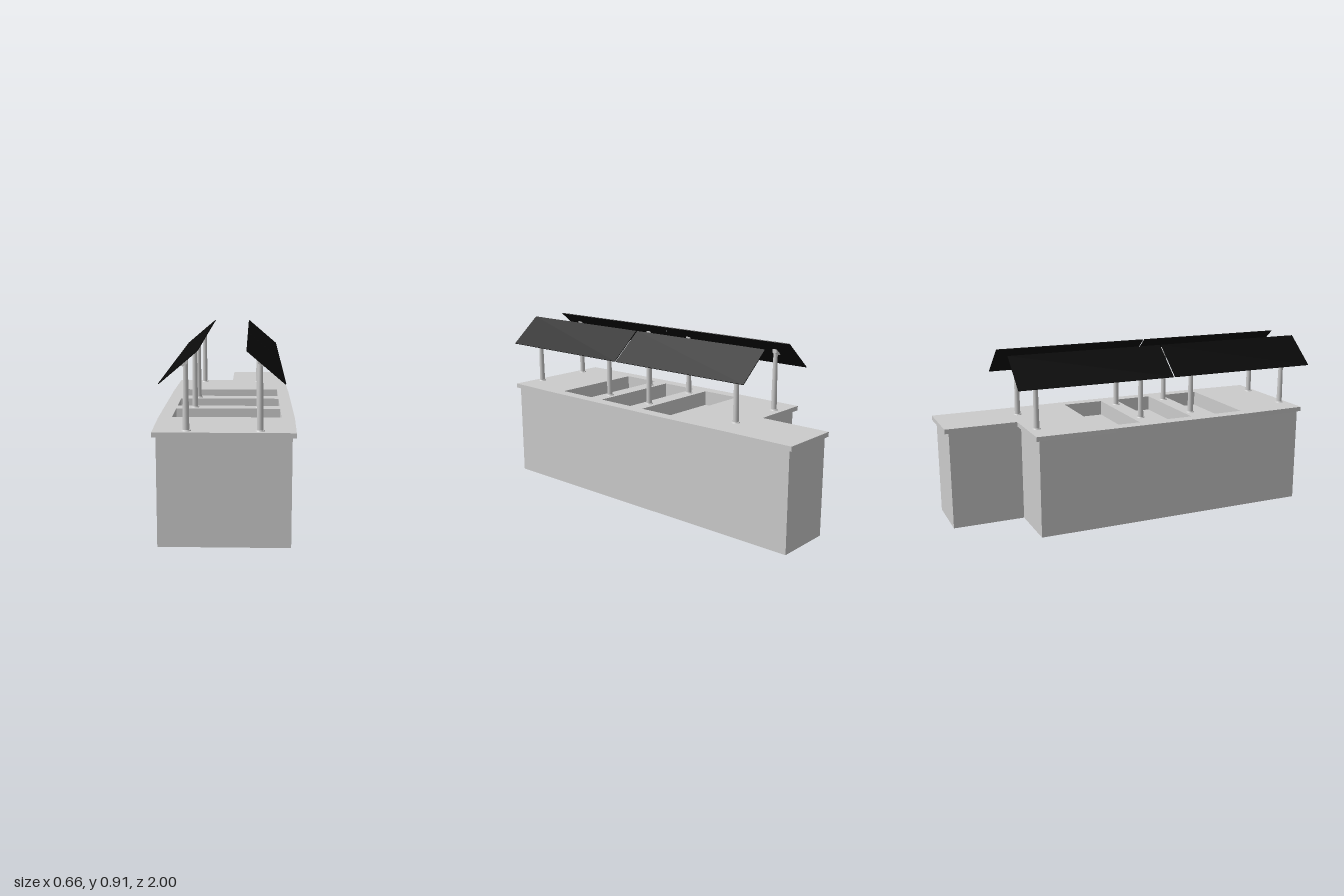
import * as THREE from 'three';

const grey = new THREE.MeshStandardMaterial({ color: 0xcccccc });
const black = new THREE.MeshStandardMaterial({ color: 0x0a0a0a });

// Shape from [x, z] floor-plan points
function plan(points) {
  return new THREE.Shape(points.map(([x, z]) => new THREE.Vector2(x, -z)));
}

// Raise a floor plan between two heights, optionally with rectangular openings
function raise(name, points, y0, y1, openings = []) {
  const shape = plan(points);
  for (const [z0, z1] of openings) {
    shape.holes.push(plan([[-0.265, z0], [-0.265, z1], [0.265, z1], [0.265, z0]]));
  }
  const geo = new THREE.ExtrudeGeometry(shape, { depth: y1 - y0, bevelEnabled: false });
  geo.rotateX(-Math.PI / 2);
  geo.translate(0, y0, 0);
  const mesh = new THREE.Mesh(geo, grey);
  mesh.name = name;
  return mesh;
}

// One post with foot flange and tilted wedge bracket; side is +1 (left) or -1 (right)
function makePost(side, z) {
  const post = new THREE.Group();
  post.name = 'post';
  const shaft = new THREE.Mesh(new THREE.CylinderGeometry(0.011, 0.015, 0.31, 20), grey);
  shaft.name = 'postShaft';
  shaft.position.y = 0.69;
  const foot = new THREE.Mesh(new THREE.CylinderGeometry(0.019, 0.022, 0.005, 20), grey);
  foot.name = 'postFoot';
  foot.position.y = 0.5375;
  const wedge = new THREE.Shape([
    [-0.011, 0.858], [-0.011, 0.838], [0.01, 0.825], [0.026, 0.827],
  ].map(([x, y]) => new THREE.Vector2(side * x, y)));
  const bracketGeo = new THREE.ExtrudeGeometry(wedge, { depth: 0.026, bevelEnabled: false });
  bracketGeo.translate(0, 0, -0.013);
  const bracket = new THREE.Mesh(bracketGeo, grey);
  bracket.name = 'panelBracket';
  post.add(shaft, foot, bracket);
  post.position.set(side * 0.165, 0, z);
  return post;
}

export function createModel() {
  const model = new THREE.Group();
  model.name = 'building';

  // L-shaped body with three recessed light wells
  const wells = [[0.35, 0.575], [0.05, 0.267], [-0.26, -0.038]];
  const bodyPlan = [
    [-0.305, 0.92], [0.303, 0.92], [0.303, -0.98], [0, -0.98], [0, -0.6], [-0.305, -0.6],
  ];
  model.add(raise('body', bodyPlan, 0, 0.455));
  model.add(raise('wellWalls', bodyPlan, 0.455, 0.511, wells));

  // Overhanging roof slab, its long sides bowed slightly outward
  const roofPlan = [
    [-0.322, 0.933], [0.32, 0.933], [0.328, 0.6], [0.328, -0.2], [0.32, -0.62], [0.318, -1],
    [0, -1], [0, -0.62], [-0.323, -0.62], [-0.33, -0.2], [-0.33, 0.6],
  ];
  model.add(raise('roofSlab', roofPlan, 0.511, 0.535, wells));

  // Two mirrored rows of tilted panels on posts
  const tilt = Math.atan2(0.143, 0.168);
  for (const side of [1, -1]) {
    const row = new THREE.Group();
    row.name = side > 0 ? 'leftPanelRow' : 'rightPanelRow';
    row.position.x = -0.006;
    for (const z of [0.89, 0.31, 0.01, -0.57]) row.add(makePost(side, z));
    for (const z of [0.578, -0.27]) {
      const panel = new THREE.Mesh(new THREE.BoxGeometry(0.221, 0.004, 0.84), black);
      panel.name = 'panel';
      panel.position.set(side * 0.189, 0.8335, z);
      panel.rotation.z = -side * tilt;
      row.add(panel);
    }
    model.add(row);
  }
  return model;
}
